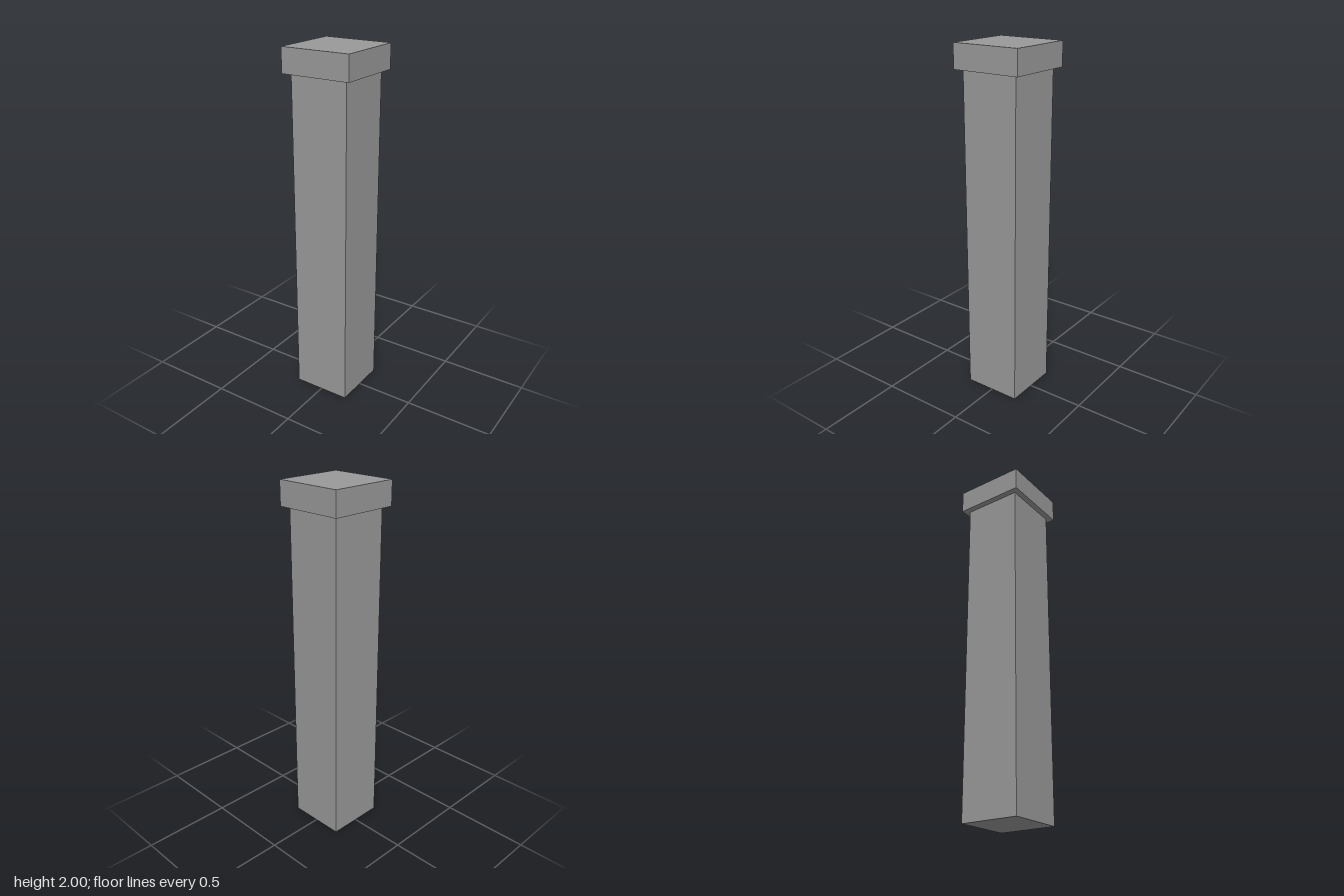
import * as THREE from 'three';

export function createModel() {
  const model = new THREE.Group();
  model.name = 'pillar';
  const material = new THREE.MeshStandardMaterial({ color: 0x999999 });

  // Square block spanning bottom..top, centred on the vertical axis
  const addBlock = (name, width, bottom, top) => {
    const mesh = new THREE.Mesh(new THREE.BoxGeometry(width, top - bottom, width), material);
    mesh.name = name;
    mesh.position.y = (bottom + top) / 2;
    model.add(mesh);
  };

  const capBottom = 1.865;
  addBlock('shaft', 0.333, 0, capBottom);
  addBlock('cap', 0.4, capBottom, 2);

  return model;
}
